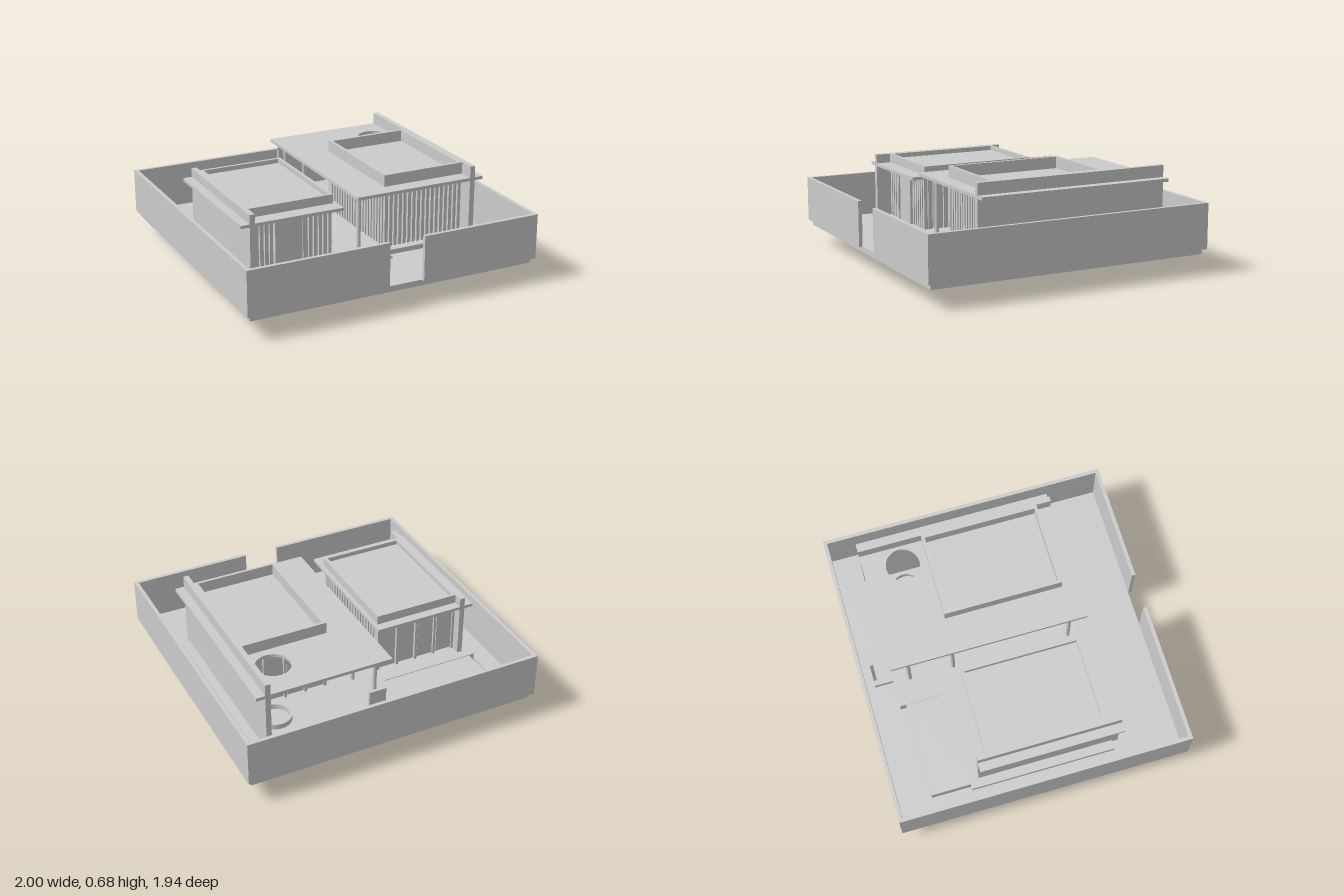
import * as THREE from 'three';

export function createModel() {
  const model = new THREE.Group();
  const grey = new THREE.MeshStandardMaterial({ color: 0xcccccc });
  grey.name = 'light grey';

  const add = (name, geo) => {
    const m = new THREE.Mesh(geo, grey);
    m.name = name;
    model.add(m);
    return m;
  };
  // box from its limits on each axis
  const box = (name, x0, x1, y0, y1, z0, z1) =>
    add(name, new THREE.BoxGeometry(x1 - x0, y1 - y0, z1 - z0)
      .translate((x0 + x1) / 2, (y0 + y1) / 2, (z0 + z1) / 2));
  const points = (pts) => pts.map(([x, z]) => new THREE.Vector2(x, z));
  const rect = (x0, x1, z0, z1) => points([[x0, z0], [x1, z0], [x1, z1], [x0, z1]]);
  // horizontal plate from a plan outline (x, z) with holes
  const plate = (name, outline, holes, y0, y1) => {
    const shape = new THREE.Shape(outline);
    holes.forEach((h) => shape.holes.push(h instanceof THREE.Path ? h : new THREE.Path(h)));
    const geo = new THREE.ExtrudeGeometry(shape, { depth: y1 - y0, bevelEnabled: false, curveSegments: 24 });
    return add(name, geo.rotateX(Math.PI / 2).translate(0, y1, 0));
  };

  // ground slab with shallow pits underneath
  const poolCut = rect(-0.855, -0.18, -0.765, -0.46);
  plate('groundSlab', rect(-0.975, 0.975, -0.945, 0.945), [
    poolCut,
    rect(0.32, 0.58, -0.195, 0.07),
    rect(-0.01, 0.09, 0.6, 0.71),
    rect(-0.8, 0.7, 0.58, 0.586),
  ], 0.12, 0.15);
  plate('groundSurface', rect(-0.975, 0.975, -0.945, 0.945), [poolCut], 0.15, 0.158);

  // boundary wall with the entrance gap at the front
  box('boundaryWallLeft', 0.975, 1, 0.155, 0.455, -0.97, 0.97);
  box('boundaryWallRight', -1, -0.975, 0.155, 0.455, -0.97, 0.97);
  box('boundaryWallBack', -0.975, 0.975, 0.155, 0.455, -0.97, -0.945);
  box('boundaryWallFrontRight', -0.975, -0.06, 0.155, 0.455, 0.945, 0.97);
  box('boundaryWallFrontLeft', 0.18, 0.975, 0.155, 0.455, 0.945, 0.97);

  // house deck, notched for the pool
  plate('deck', points([
    [-0.18, -0.765], [0.85, -0.765], [0.85, 0.51], [-0.855, 0.51],
    [-0.855, -0.46], [-0.18, -0.46],
  ]), [rect(-0.16, -0.06, 0.05, 0.22)], 0.158, 0.19);
  box('entranceStep', -0.16, 0.18, 0.158, 0.173, 0.51, 0.57);

  // pool block with an overflow gutter on two sides
  box('pool', -0.82, -0.18, 0, 0.186, -0.725, -0.46);
  box('poolGutter', -0.855, -0.18, 0.105, 0.121, -0.765, -0.46);

  // rows of vertical slats along x or z
  const slatsX = (name, x0, x1, z, y1, n) => {
    const pitch = (x1 - x0) / n;
    for (let i = 0; i < n; i++) {
      const x = x0 + (i + 0.5) * pitch;
      box(name, x - pitch * 0.32, x + pitch * 0.32, 0.19, y1, z - 0.012, z + 0.012);
    }
  };
  const slatsZ = (name, z0, z1, x, y1, n) => {
    const pitch = (z1 - z0) / n;
    for (let i = 0; i < n; i++) {
      const z = z0 + (i + 0.5) * pitch;
      box(name, x - 0.012, x + 0.012, 0.19, y1, z - pitch * 0.32, z + pitch * 0.32);
    }
  };
  // rear wall of tall panels between narrow posts
  const rearPanels = (name, x0, x1, y1) => {
    const w = (x1 - x0) / 4;
    for (let i = 0; i < 4; i++) {
      box(name, x0 + i * w + 0.015, x0 + (i + 1) * w - 0.015, 0.2, y1 - 0.01, -0.33, -0.318 - (i % 2) * 0.005);
    }
    for (let i = 0; i <= 4; i++) {
      const x = x0 + 0.008 + (i * (x1 - x0 - 0.016)) / 4;
      box(name + 'Post', x - 0.008, x + 0.008, 0.19, y1, -0.34, -0.315);
    }
  };

  // lower pavilion
  box('lowerPavilionCore', -0.76, -0.205, 0.19, 0.535, -0.32, 0.43);
  box('lowerPavilionSideWall', -0.795, -0.76, 0.158, 0.615, -0.4, 0.55);
  slatsX('lowerPavilionFrontSlat', -0.76, -0.19, 0.438, 0.535, 17);
  slatsZ('lowerPavilionCourtSlat', -0.32, 0.43, -0.202, 0.535, 20);
  rearPanels('lowerPavilionRearPanel', -0.76, -0.19, 0.535);
  box('lowerRoof', -0.855, -0.16, 0.535, 0.555, -0.4, 0.55);
  plate('lowerRoofKerb', rect(-0.76, -0.185, -0.34, 0.45), [rect(-0.74, -0.207, -0.32, 0.43)], 0.555, 0.615);
  box('lowerRoofLight', -0.74, -0.207, 0.555, 0.585, -0.32, 0.43);

  // door and frame on the lower pavilion
  box('frontDoor', -0.58, -0.4, 0.19, 0.495, 0.43, 0.455);
  box('doorFrameTop', -0.59, -0.39, 0.495, 0.508, 0.43, 0.465);
  for (const x of [-0.59, -0.4]) box('doorFrameSide', x, x + 0.01, 0.19, 0.495, 0.43, 0.465);

  // upper pavilion
  box('upperPavilionCore', 0.195, 0.755, 0.19, 0.58, -0.32, 0.43);
  box('upperPavilionSideWall', 0.755, 0.79, 0.158, 0.68, -0.765, 0.55);
  slatsX('upperPavilionFrontSlat', 0.18, 0.755, 0.438, 0.58, 17);
  slatsZ('upperPavilionCourtSlat', -0.32, 0.43, 0.192, 0.58, 20);
  rearPanels('upperPavilionRearPanel', 0.18, 0.755, 0.58);
  const treeOpening = new THREE.Path();
  treeOpening.absarc(0.62, -0.503, 0.112, 0, Math.PI * 2, false);
  plate('upperRoof', rect(-0.063, 0.85, -0.765, 0.55), [treeOpening], 0.582, 0.603);
  plate('upperRoofKerb', rect(0.18, 0.755, -0.34, 0.45), [rect(0.203, 0.733, -0.32, 0.43)], 0.603, 0.68);

  // slim posts along the open edge of the upper roof
  for (const z of [-0.65, -0.35, 0.45]) {
    add('roofPost', new THREE.CylinderGeometry(0.014, 0.014, 0.392, 12).translate(-0.003, 0.386, z));
  }

  // round planter beneath the roof opening
  const planter = [[0.095, 0.19], [0.112, 0.19], [0.112, 0.225], [0.095, 0.225], [0.095, 0.19]]
    .map(([r, y]) => new THREE.Vector2(r, y));
  const ring = add('roundPlanter', new THREE.LatheGeometry(planter, 40).toNonIndexed().translate(0.62, 0, -0.503));
  ring.geometry.computeVertexNormals();

  // free-standing rear screen on its plinth
  box('screenPlinth', 0.005, 0.155, 0.158, 0.19, -0.89, -0.765);
  box('rearScreen', 0.042, 0.155, 0.19, 0.495, -0.887, -0.866);

  return model;
}
